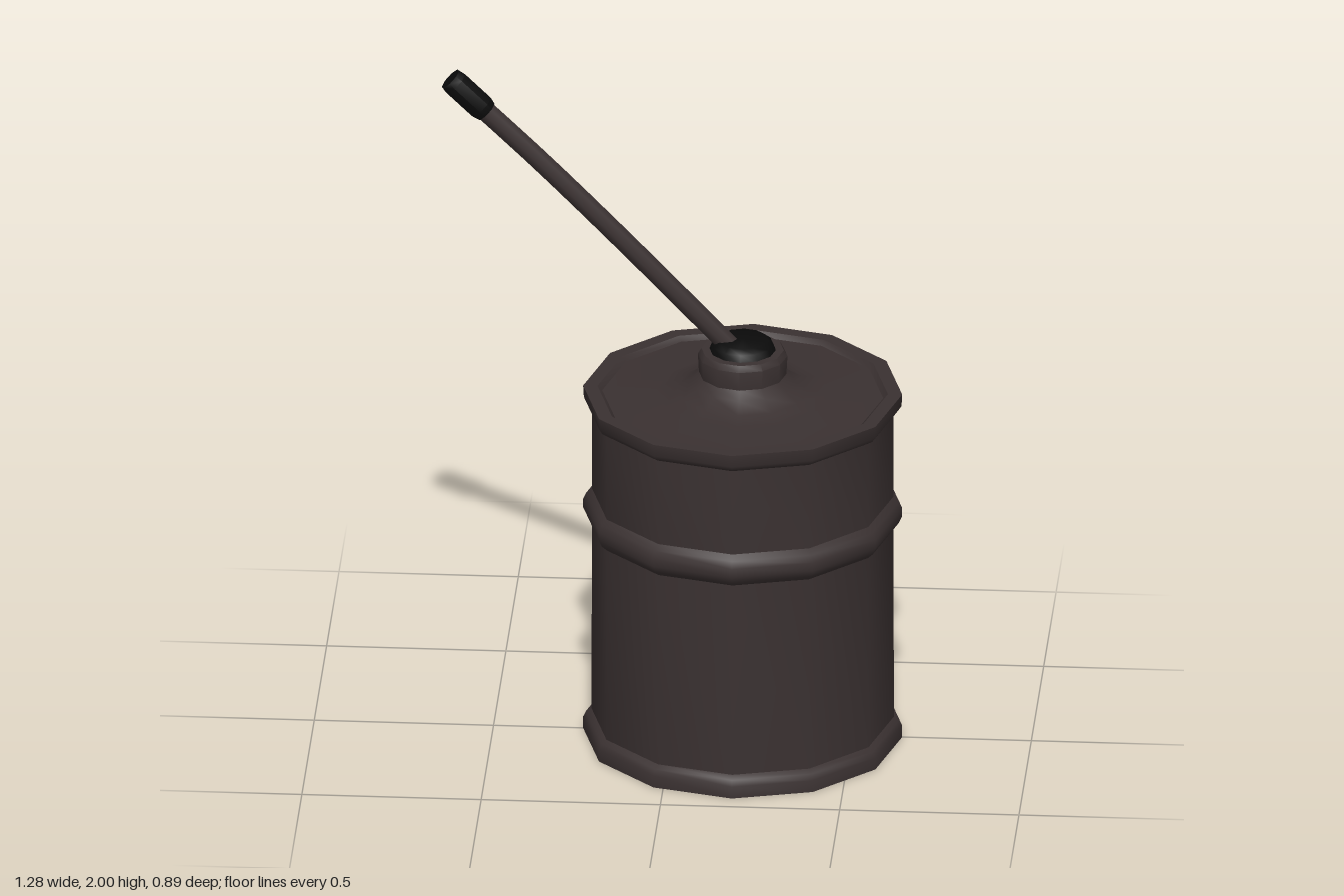
import * as THREE from 'three';
import { toCreasedNormals } from 'three/addons/utils/BufferGeometryUtils.js';

const AXIS_X = 0.195;

export function createModel() {
  const model = new THREE.Group();
  model.name = 'oilCan';
  const metal = new THREE.MeshStandardMaterial({ color: 0x3a3131 });
  metal.name = 'dark brown metal';
  const black = new THREE.MeshStandardMaterial({ color: 0x0b0b0b });
  black.name = 'black fitting';

  const add = (name, geometry, material, parent = model) => {
    const mesh = new THREE.Mesh(geometry, material);
    mesh.name = name;
    parent.add(mesh);
    return mesh;
  };
  // Turned part from [radius, height] pairs, listed from bottom to top
  const turned = (name, profile, sides, material) => {
    const points = profile.map(([r, y]) => new THREE.Vector2(r, y));
    const mesh = add(name, toCreasedNormals(new THREE.LatheGeometry(points, sides), 0.75), material);
    mesh.position.x = AXIS_X;
    return mesh;
  };

  // Twelve-sided drum with bottom rim, raised rib and top rim
  turned('drum', [
    [0, 0.025], [0.4, 0.025], [0.415, 0], [0.445, 0], [0.445, 0.035], [0.437, 0.052], [0.422, 0.062],
    [0.42, 0.64], [0.436, 0.655], [0.445, 0.675], [0.445, 0.7], [0.436, 0.72], [0.421, 0.735],
    [0.421, 0.99], [0.434, 0.998], [0.443, 1.012], [0.445, 1.047], [0.405, 1.047], [0.392, 1.034],
  ], 12, metal);

  // Lid sweeping up into the neck
  turned('lidAndNeck', [
    [0.392, 1.034], [0.24, 1.042], [0.185, 1.052], [0.145, 1.078], [0.122, 1.1],
    [0.125, 1.155], [0.115, 1.172], [0.085, 1.172],
  ], 12, metal);

  // Black plug closing the neck
  turned('plug', [[0.095, 1.165], [0.086, 1.19], [0.07, 1.203], [0, 1.203]], 12, black);

  // Slanted spout
  const path = new THREE.CatmullRomCurve3([
    new THREE.Vector3(0.165, 1.175, 0),
    new THREE.Vector3(-0.16, 1.52, 0.006),
    new THREE.Vector3(-0.37, 1.733, 0.004),
    new THREE.Vector3(-0.54, 1.895, 0),
  ]);
  add('spout', new THREE.TubeGeometry(path, 10, 0.03, 8), metal);

  // Black nozzle at the spout end
  const from = new THREE.Vector3(-0.52, 1.876, 0);
  const to = new THREE.Vector3(-0.62, 1.973, 0);
  const length = from.distanceTo(to);
  const profile = [[0, 0], [0.033, 0], [0.039, 0.02], [0.039, length - 0.02], [0.035, length], [0, length]]
    .map(([r, y]) => new THREE.Vector2(r, y));
  const nozzle = add('nozzle', toCreasedNormals(new THREE.LatheGeometry(profile, 8), 0.8), black);
  nozzle.position.copy(from);
  nozzle.quaternion.setFromUnitVectors(new THREE.Vector3(0, 1, 0), to.clone().sub(from).normalize());

  return model;
}
